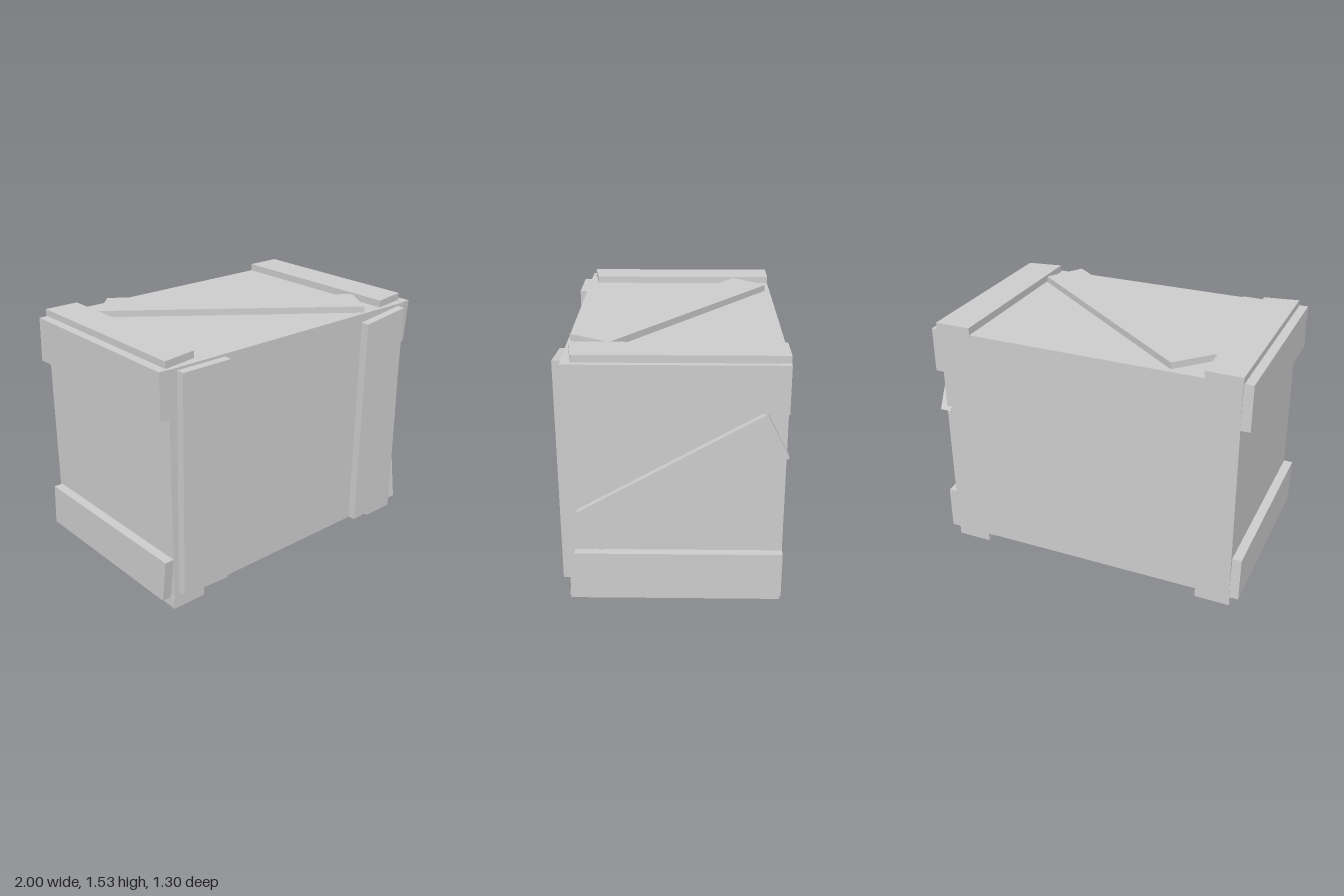
import * as THREE from 'three';

const material = new THREE.MeshStandardMaterial({ color: 0xcccccc, flatShading: true });

// Maps outline (u, v) and thickness w to model axes; each basis is right-handed.
const V = (x, y, z) => new THREE.Vector3(x, y, z);
const FACING = {
  front: [V(1, 0, 0), V(0, 1, 0), V(0, 0, 1)], // outline (x, y), thickness z
  side: [V(0, 0, -1), V(0, 1, 0), V(1, 0, 0)], // outline (-z, y), thickness x
  top: [V(1, 0, 0), V(0, 0, -1), V(0, 1, 0)], // outline (x, -z), thickness y
};

// A four-cornered board; corners given as (x, y), (z, y) or (x, z).
function board(name, facing, corners, from, to) {
  const pts = corners.map(([a, b]) => {
    if (facing === 'side') return new THREE.Vector2(-a, b);
    if (facing === 'top') return new THREE.Vector2(a, -b);
    return new THREE.Vector2(a, b);
  });
  const geometry = new THREE.ExtrudeGeometry(new THREE.Shape(pts), { depth: to - from, bevelEnabled: false });
  geometry.translate(0, 0, from);
  geometry.applyMatrix4(new THREE.Matrix4().makeBasis(...FACING[facing]));
  const mesh = new THREE.Mesh(geometry, material);
  mesh.name = name;
  return mesh;
}

export function createModel() {
  const crate = new THREE.Group();
  crate.name = 'crate';

  // Crate body
  const body = new THREE.Mesh(new THREE.BoxGeometry(1.89, 1.43, 1.235), material);
  body.position.set(0.003, 0.775, -0.02);
  body.name = 'body';
  crate.add(body);

  crate.add(
    // Upright boards on the front
    board('frontBoardRight', 'front', [[-0.885, 1.475], [-0.555, 1.475], [-0.585, 0.09], [-0.91, 0.105]], 0.59, 0.65),
    board('frontBoardLeft', 'front', [[0.555, 1.435], [0.89, 1.475], [0.86, 0.09], [0.535, 0.065]], 0.59, 0.65),

    // Horizontal boards and diagonal brace on the left side
    board('leftUpperBoard', 'side', [[0.595, 1.492], [0.575, 1.213], [-0.638, 1.213], [-0.638, 1.492]], 0.94, 1.0),
    board('leftLowerBoard', 'side', [[0.56, 0.34], [0.597, 0.062], [-0.638, 0.062], [-0.638, 0.34]], 0.94, 1.0),
    board('leftBrace', 'side', [[0.54, 0.6], [0.415, 0.355], [-0.65, 0.95], [-0.52, 1.21]], 0.915, 0.99),

    // Horizontal boards on the right side
    board('rightUpperBoard', 'side', [[0.597, 1.492], [0.597, 1.213], [-0.638, 1.213], [-0.625, 1.492]], -1.0, -0.935),
    board('rightLowerBoard', 'side', [[0.597, 0.335], [0.56, 0.062], [-0.638, 0.062], [-0.62, 0.335]], -1.0, -0.935),

    // Lid boards and diagonal brace
    board('lidBoardRight', 'top', [[-0.945, -0.638], [-0.725, -0.638], [-0.725, 0.54], [-0.945, 0.575]], 1.48, 1.533),
    board('lidBoardLeft', 'top', [[0.74, -0.638], [0.965, -0.638], [0.965, 0.54], [0.74, 0.575]], 1.48, 1.535),
    board('lidBrace', 'top', [[-0.715, -0.4], [-0.52, -0.605], [0.73, 0.35], [0.585, 0.585]], 1.48, 1.53),
  );

  // Skids under the crate
  for (const [name, x, bottom] of [['skidRight', -0.835, 0], ['skidLeft', 0.835, 0.005]]) {
    const skid = new THREE.Mesh(new THREE.BoxGeometry(0.22, 0.07 - bottom, 1.235), material);
    skid.position.set(x, (0.07 + bottom) / 2, -0.02);
    skid.name = name;
    crate.add(skid);
  }

  return crate;
}
